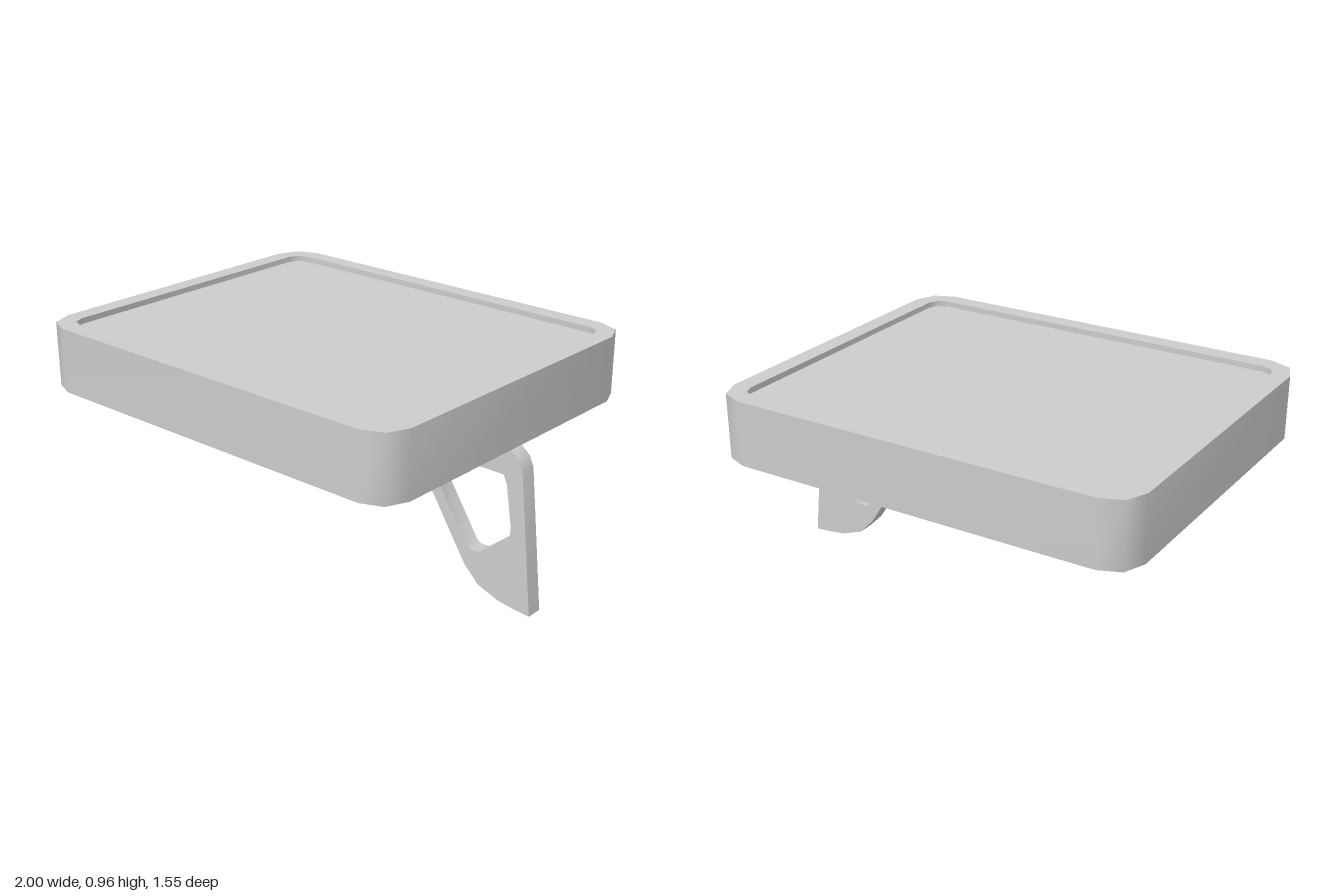
import * as THREE from 'three';
import { toCreasedNormals } from 'three/addons/utils/BufferGeometryUtils.js';

const CREASE = 0.95;
const material = new THREE.MeshStandardMaterial({ color: 0xcccccc });

// Ring of 12 points: a rectangle whose corners are rounded in two facets.
// c is the corner size, m how far its middle point sits from both sides.
function ring(x0, x1, halfZ, y, c, m) {
  const cx = (x0 + x1) / 2, hx = (x1 - x0) / 2;
  const corner = [[hx, halfZ - c], [hx - m, halfZ - m], [hx - c, halfZ]];
  const points = [];
  for (const [sx, sz] of [[1, 1], [-1, 1], [-1, -1], [1, -1]]) {
    const list = sx * sz > 0 ? corner : [...corner].reverse();
    for (const [x, z] of list) points.push([cx + sx * x, y, sz * z]);
  }
  return points;
}

// Skin successive rings and close both ends
function loft(rings) {
  const n = rings[0].length, index = [];
  for (let r = 0; r < rings.length - 1; r++) {
    for (let i = 0; i < n; i++) {
      const a = r * n + i, b = r * n + (i + 1) % n;
      index.push(a, a + n, b, b, a + n, b + n);
    }
  }
  const last = (rings.length - 1) * n;
  for (let i = 1; i < n - 1; i++) {
    index.push(0, i, i + 1);
    index.push(last, last + i + 1, last + i);
  }
  const geometry = new THREE.BufferGeometry();
  geometry.setAttribute('position', new THREE.Float32BufferAttribute(rings.flat(2), 3));
  geometry.setIndex(index);
  return toCreasedNormals(geometry, CREASE);
}

const toPoints = (list) => list.map(([x, y]) => new THREE.Vector2(x, y));

export function createModel() {
  const group = new THREE.Group();
  group.name = 'trayWithBracket';

  // Thick tray with a raised rim and a shallow recessed top
  const tray = new THREE.Mesh(loft([
    ring(-1, 0.877, 0.773, 0.68, 0.13, 0.038),
    ring(-1, 0.877, 0.773, 0.96, 0.13, 0.038),
    ring(-0.922, 0.799, 0.693, 0.96, 0.06, 0.018),
    ring(-0.922, 0.799, 0.693, 0.935, 0.06, 0.018),
  ]), material);
  tray.name = 'tray';
  group.add(tray);

  // Flat support bracket with a rounded triangular opening
  const outline = new THREE.Shape(toPoints([
    [0.388, 0.68], [0.367, 0.636], [0.382, 0.585], [0.676, 0.123], [0.746, 0.053],
    [0.848, 0.016], [0.917, 0.007], [1, 0], [0.935, 0.604], [0.917, 0.645], [0.877, 0.68],
  ]));
  outline.holes.push(new THREE.Path(toPoints([
    [0.479, 0.551], [0.5, 0.57], [0.848, 0.57], [0.865, 0.535], [0.893, 0.358],
    [0.89, 0.315], [0.746, 0.198], [0.709, 0.196], [0.687, 0.207], [0.479, 0.53],
  ])));
  const thickness = 0.072;
  const plate = new THREE.ExtrudeGeometry(outline, { depth: thickness, bevelEnabled: false });
  plate.translate(0, 0, -thickness / 2);
  const bracket = new THREE.Mesh(toCreasedNormals(plate, CREASE), material);
  bracket.name = 'supportBracket';
  group.add(bracket);

  return group;
}
